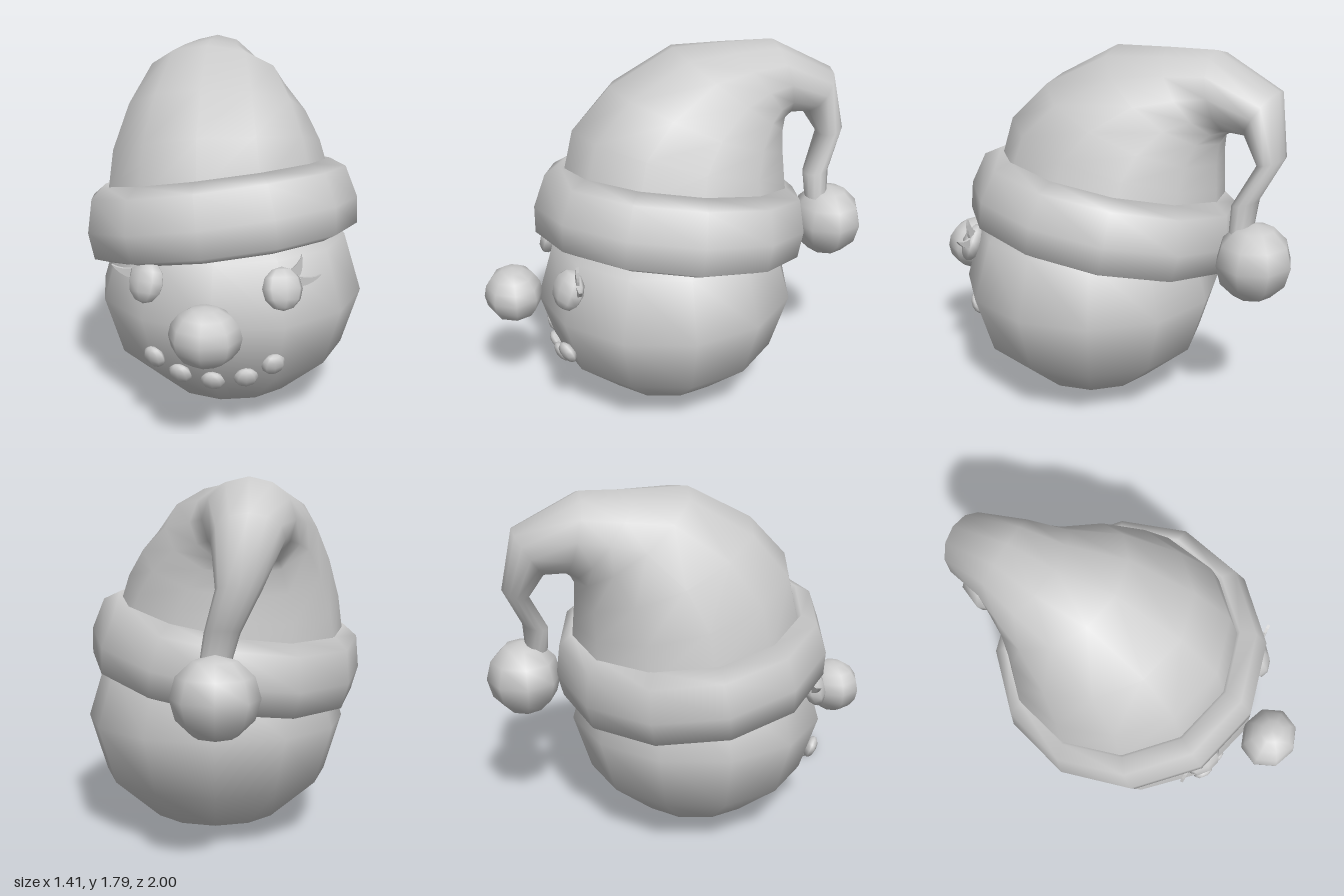
import * as THREE from 'three';

const grey = new THREE.MeshStandardMaterial({ color: 0xcccccc });
const HEAD = { c: new THREE.Vector3(0.035, 0.58, 0.075), r: new THREE.Vector3(0.665, 0.58, 0.655) };
const MID = HEAD.c.x;

function add(parent, name, geometry) {
  const mesh = new THREE.Mesh(geometry, grey);
  mesh.name = name;
  parent.add(mesh);
  return mesh;
}

function ball(parent, name, pos, radii, w = 8, h = 6) {
  const mesh = add(parent, name, new THREE.SphereGeometry(1, w, h));
  mesh.position.set(...pos);
  mesh.scale.set(...radii);
  return mesh;
}

// Flattened button lying on the front of the head, facing outward
function button(parent, name, x, y, radius, depth) {
  const dx = (x - HEAD.c.x) / HEAD.r.x, dy = (y - HEAD.c.y) / HEAD.r.y;
  const dz = Math.sqrt(1 - dx * dx - dy * dy);
  const mesh = ball(parent, name, [x, y, HEAD.c.z + HEAD.r.z * dz], [radius, radius, depth]);
  const normal = new THREE.Vector3(dx / HEAD.r.x, dy / HEAD.r.y, dz / HEAD.r.z).normalize();
  mesh.quaternion.setFromUnitVectors(new THREE.Vector3(0, 0, 1), normal);
}

// Skin over elliptical rings: outer point [z, y], inner point [z, y], centre x, half width, sideways tilt
function sweep(rings, sides) {
  const pos = [], index = [];
  rings.forEach(([oz, oy, iz, iy, cx, w, tilt], i) => {
    for (let j = 0; j < sides; j++) {
      const a = (j / sides) * Math.PI * 2, s = Math.sin(a) / 2, x = w * Math.cos(a);
      pos.push(cx + x, (oy + iy) / 2 + (oy - iy) * s + tilt * x, (oz + iz) / 2 + (oz - iz) * s);
      if (i === rings.length - 1) continue;
      const p = i * sides + j, q = i * sides + (j + 1) % sides;
      index.push(p, p + sides, q, q, p + sides, q + sides);
    }
  });
  const g = new THREE.BufferGeometry();
  g.setAttribute('position', new THREE.Float32BufferAttribute(pos, 3));
  g.setIndex(index);
  g.computeVertexNormals();
  return g;
}

// Thin curved lash from two base points to a tip
function lash(parent, side, a, b, tip, bend) {
  const X = (x) => MID + side * (x - MID);
  const shape = new THREE.Shape();
  shape.moveTo(X(a[0]), a[1]);
  shape.quadraticCurveTo(X((a[0] + tip[0]) / 2 + bend[0]), (a[1] + tip[1]) / 2 + bend[1], X(tip[0]), tip[1]);
  shape.quadraticCurveTo(X((b[0] + tip[0]) / 2 + bend[0]), (b[1] + tip[1]) / 2 + bend[1], X(b[0]), b[1]);
  const g = new THREE.ExtrudeGeometry(shape, { depth: 0.015, bevelEnabled: false, curveSegments: 4 });
  add(parent, 'eyelash', g).position.z = 0.57;
}

export function createModel() {
  const model = new THREE.Group();
  model.name = 'snowmanHead';

  ball(model, 'head', HEAD.c.toArray(), HEAD.r.toArray(), 12, 6);
  ball(model, 'nose', [MID, 0.61, 0.855], [0.165, 0.14, 0.145], 8, 8);

  // Eyes with two lashes each
  for (const side of [-1, 1]) {
    const eye = new THREE.Group();
    eye.name = side > 0 ? 'leftEye' : 'rightEye';
    model.add(eye);
    button(eye, 'eyeball', MID + side * 0.315, 0.76, 0.1, 0.055);
    lash(eye, side, [0.375, 0.835], [0.425, 0.815], [0.43, 0.915], [0.015, -0.01]);
    lash(eye, side, [0.425, 0.81], [0.435, 0.765], [0.52, 0.825], [0.01, -0.015]);
  }

  // Smile of five buttons
  for (const [dx, y] of [[-0.28, 0.395], [-0.155, 0.325], [0, 0.3], [0.155, 0.325], [0.28, 0.395]]) {
    button(model, 'mouthButton', MID + dx, y, 0.058, 0.032);
  }

  // Tilted hat brim
  const profile = [[0.5, 0.03], [0.6, -0.02], [0.68, 0.01], [0.695, 0.14], [0.655, 0.3], [0.58, 0.35], [0.53, 0.26]];
  const brim = add(model, 'hatBrim', new THREE.LatheGeometry(profile.map((p) => new THREE.Vector2(...p)), 12));
  brim.position.set(0, 0.81, 0.05);
  brim.quaternion.setFromUnitVectors(new THREE.Vector3(0, 1, 0), new THREE.Vector3(-0.15, 1, -0.14).normalize());

  // Floppy hat folding over to the back
  add(model, 'hat', sweep([
    [0.57, 1.17, -0.58, 1.0, -0.05, 0.57, 0.15],
    [0.51, 1.41, -0.57, 1.13, -0.06, 0.53, 0.1],
    [0.32, 1.61, -0.56, 1.25, -0.07, 0.46, 0.05],
    [0.0, 1.78, -0.56, 1.35, -0.09, 0.36, 0],
    [-0.28, 1.785, -0.58, 1.39, -0.12, 0.27, 0],
    [-0.52, 1.79, -0.61, 1.41, -0.12, 0.21, 0],
    [-0.84, 1.63, -0.7, 1.41, -0.11, 0.16, 0],
    [-0.9, 1.33, -0.775, 1.29, -0.07, 0.1, 0],
    [-0.81, 1.13, -0.685, 1.1, 0.0, 0.08, 0],
    [-0.8, 0.98, -0.69, 0.98, 0.03, 0.07, 0],
  ], 12));

  ball(model, 'pompom', [0.03, 0.84, -0.815], [0.2, 0.19, 0.185], 8, 6);
  return model;
}
